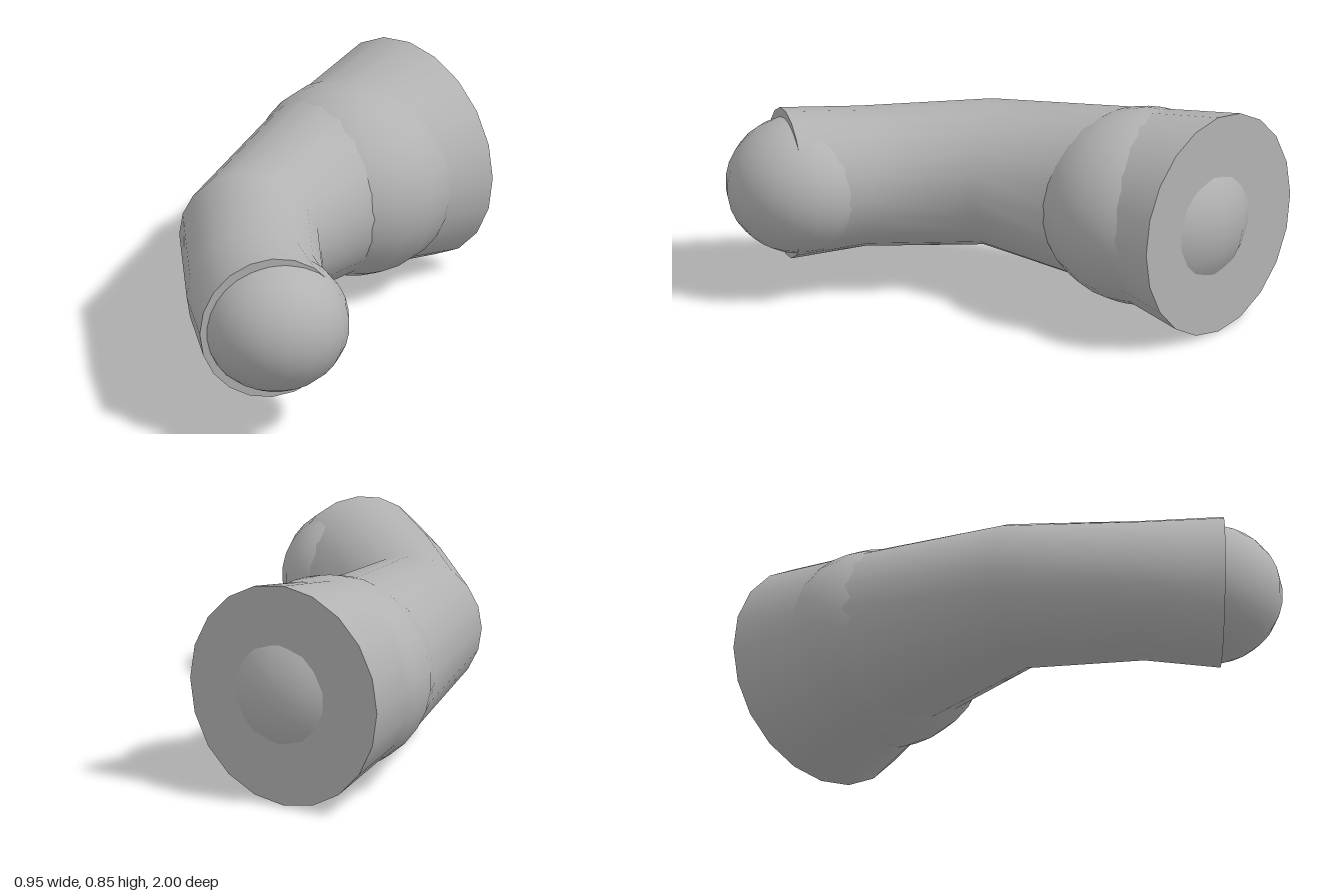
import * as THREE from 'three';

const SIDES = 20;
const MID_Y = 0.425;

// Each ring: right-hand end [x, z], left-hand end [x, z], vertical radius (back to front)
const RINGS = [
  { a: [-0.40, -1.00], b: [0.40, -0.75], r: 0.425 },
  { a: [-0.46, -0.47], b: [0.19, -0.38], r: 0.338 },
  { a: [-0.45, 0.18], b: [0.08, 0.07], r: 0.272 },
  { a: [-0.19, 0.67], b: [0.26, 0.41], r: 0.261 },
  { a: [-0.01, 0.94], b: [0.43, 0.61], r: 0.283 },
];

function ringPoints({ a, b, r }) {
  const points = [];
  for (let j = 0; j < SIDES; j++) {
    const t = (j / SIDES) * Math.PI * 2;
    const c = Math.cos(t) / 2;
    points.push(
      (a[0] + b[0]) / 2 + (b[0] - a[0]) * c,
      MID_Y + r * Math.sin(t),
      (a[1] + b[1]) / 2 + (b[1] - a[1]) * c,
    );
  }
  return points;
}

function makeGeometry(positions, index) {
  const geometry = new THREE.BufferGeometry();
  geometry.setAttribute('position', new THREE.Float32BufferAttribute(positions, 3));
  geometry.setIndex(index);
  geometry.computeVertexNormals();
  return geometry;
}

// Smooth skin joining the rings
function tubeGeometry() {
  const index = [];
  for (let i = 0; i < RINGS.length - 1; i++) {
    for (let j = 0; j < SIDES; j++) {
      const k = (j + 1) % SIDES;
      const a = i * SIDES + j, b = i * SIDES + k;
      const c = a + SIDES, d = b + SIDES;
      index.push(a, b, d, a, d, c);
    }
  }
  return makeGeometry(RINGS.flatMap(ringPoints), index);
}

// Flat end disc
function capGeometry(ring, facesFront) {
  const index = [];
  for (let j = 1; j < SIDES - 1; j++) {
    index.push(0, ...(facesFront ? [j, j + 1] : [j + 1, j]));
  }
  return makeGeometry(ringPoints(ring), index);
}

export function createModel() {
  const group = new THREE.Group();
  group.name = 'bentLimb';
  const grey = new THREE.MeshStandardMaterial({ color: 0xb2b2b2 });
  grey.name = 'grey';

  const add = (name, geometry) => {
    const mesh = new THREE.Mesh(geometry, grey);
    mesh.name = name;
    group.add(mesh);
    return mesh;
  };

  // Bent, tapering tube with closed ends
  add('limbTube', tubeGeometry());
  add('backCap', capGeometry(RINGS[0], false));
  add('frontCap', capGeometry(RINGS[RINGS.length - 1], true));

  // Slightly flattened joint balls
  const ball = new THREE.SphereGeometry(1, 20, 15);
  const addBall = (name, x, z, r, ry) => {
    const mesh = add(name, ball);
    mesh.position.set(x, MID_Y, z);
    mesh.scale.set(r, ry, r);
  };
  addBall('upperJointBall', -0.08, -0.55, 0.393, 0.367);
  addBall('lowerJointBall', 0.198, 0.722, 0.278, 0.257);

  return group;
}
